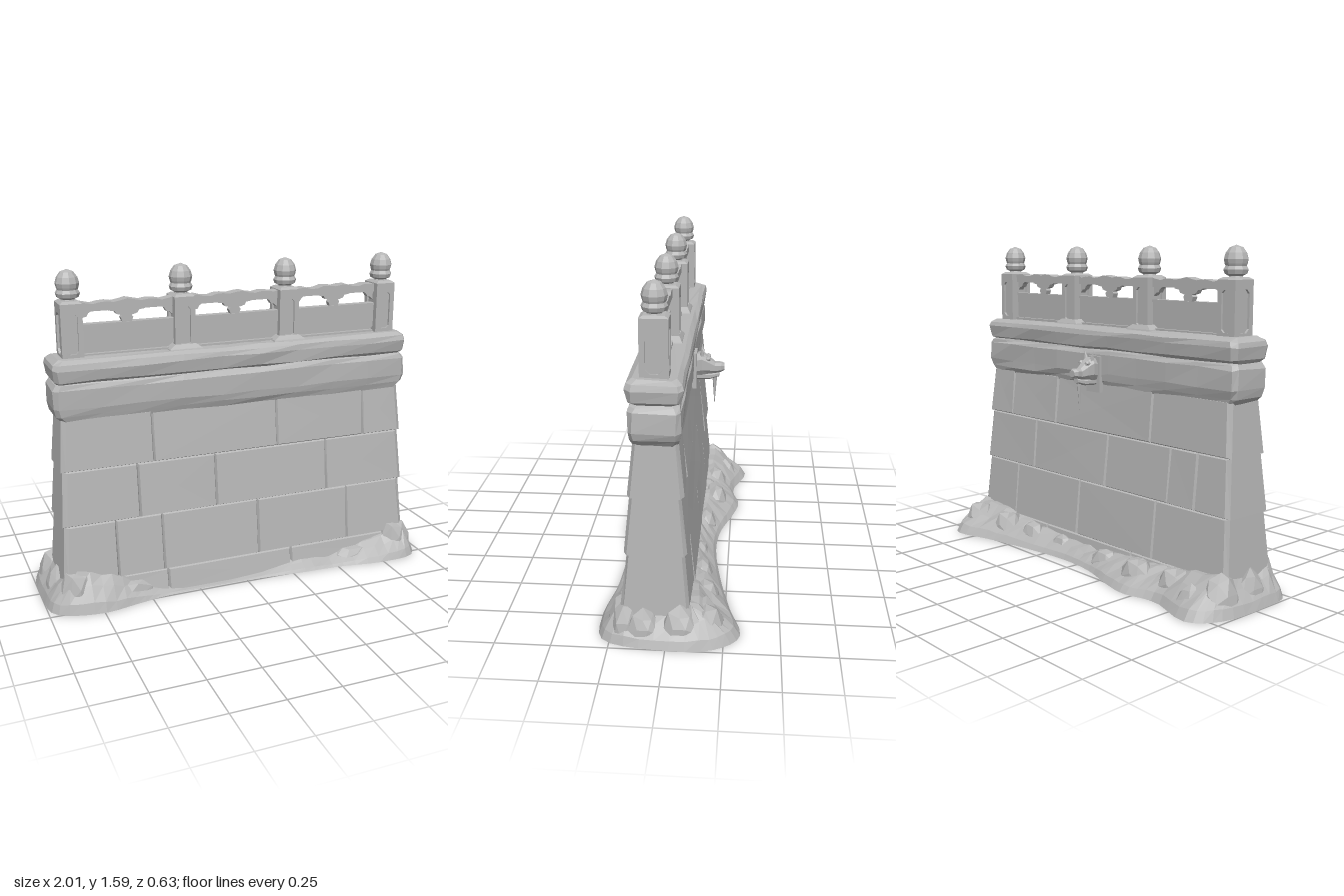
import * as THREE from 'three';

const stone = new THREE.MeshStandardMaterial({ color: 0xb6b6b6 });
stone.name = 'grey stone';

const V = (x, y, z) => new THREE.Vector3(x, y, z);
let seed = 7;
const rnd = () => (seed = (seed * 16807) % 2147483647) / 2147483647;
const jit = (a) => (rnd() - 0.5) * 2 * a;

// Faceted mesh from any geometry
function add(group, name, geo, x = 0, y = 0, z = 0) {
  const flat = geo.index ? geo.toNonIndexed() : geo;
  flat.computeVertexNormals();
  const mesh = new THREE.Mesh(flat, stone);
  mesh.name = name;
  mesh.position.set(x, y, z);
  group.add(mesh);
  return mesh;
}

// Closed skin through rings of equal length, capped at both ends
function loft(rings) {
  const pos = [];
  const tri = (...p) => p.forEach((v) => pos.push(v.x, v.y, v.z));
  const n = rings[0].length;
  const mid = (r) => r.reduce((s, p) => s.add(p), V(0, 0, 0)).divideScalar(n);
  const first = rings[0], last = rings[rings.length - 1];
  const cA = mid(first), cB = mid(last);
  for (let j = 0; j < n; j++) {
    const k = (j + 1) % n;
    for (let i = 0; i < rings.length - 1; i++) {
      const a = rings[i][j], b = rings[i][k], c = rings[i + 1][k], d = rings[i + 1][j];
      tri(a, b, c); tri(a, c, d);
    }
    tri(cA, first[k], first[j]);
    tri(cB, last[j], last[k]);
  }
  const g = new THREE.BufferGeometry();
  g.setAttribute('position', new THREE.Float32BufferAttribute(pos, 3));
  return g;
}

// Worn rectangle with cut corners at height y
function slabRing(y, hx, z0, z1, wear = 0.004, c = 0.022, n = 9) {
  const r = [V(hx, y, z1 - c), V(hx, y, z0 + c)];
  for (let i = 0; i <= n; i++) r.push(V((hx - c) * (1 - 2 * i / n), y, z0));
  r.push(V(-hx, y, z0 + c), V(-hx, y, z1 - c));
  for (let i = 0; i <= n; i++) r.push(V((hx - c) * (-1 + 2 * i / n), y, z1));
  return r.map((p) => p.add(V(jit(wear), jit(wear), jit(wear))));
}

// Chamfered masonry block on the front (side 1) or back (side -1)
const halfX = (y) => 0.916 - 0.04 * y;
const face = (y, side) => (side > 0 ? 0.207 - 0.068 * y : -0.105 + 0.055 * y);
function block(u0, u1, y0, y1, side) {
  const b = 0.007;
  const ring = (inset, depth) => {
    const cs = [[u0, y0], [u1, y0], [u1, y1], [u0, y1]].map(([u, y], i) => {
      const edge = Math.abs(u) === 1;
      const lower = i < 2 ? 0.006 : -0.003;
      const cut = edge ? inset * 3 : inset;
      const x = (edge ? u * (halfX(y) + lower) : u) + (i === 0 || i === 3 ? cut : -cut);
      const yy = y + (i < 2 ? inset : -inset);
      const z = depth === null ? 0.05 : face(y, side) + side * (lower - depth + (inset ? jit(0.003) : 0));
      return V(x, yy, z);
    });
    return side > 0 ? cs : [cs[1], cs[0], cs[3], cs[2]];
  };
  return loft([ring(0, null), ring(0, 0.014), ring(b, 0)]);
}

// Thin plate with a long eight-sided opening
function framePlate(w, h, hw, hh) {
  const s = new THREE.Shape([[-w, -h], [w, -h], [w, h], [-w, h]].map((p) => new THREE.Vector2(...p)));
  const c = hw * 0.5;
  s.holes.push(new THREE.Path([[-hw, -hh + c], [-hw, hh - c], [-hw + c, hh], [hw - c, hh], [hw, hh - c],
    [hw, -hh + c], [hw - c, -hh], [-hw + c, -hh]].map((p) => new THREE.Vector2(...p))));
  return new THREE.ExtrudeGeometry(s, { depth: 0.012, bevelEnabled: false });
}

function boulder(sx, sy, sz) {
  const g = new THREE.IcosahedronGeometry(1, 1);
  const p = g.attributes.position;
  for (let i = 0; i < p.count; i++) {
    const x = p.getX(i), y = p.getY(i), z = p.getZ(i);
    const k = 1 + 0.12 * Math.sin(5 * x + 9 * z + 40 * sx) * Math.cos(4 * y + 30 * sz);
    p.setXYZ(i, x * sx * k, Math.max(0, y * sy * k), z * sz * k);
  }
  return g;
}

function buildWall(root) {
  const wall = new THREE.Group();
  wall.name = 'masonryWall';
  const rows = [
    [0, 0.12, [-0.4, 0.26], [-0.3, 0.35]],
    [0.12, 0.405, [-0.65, -0.42, 0.08, 0.58], [-0.45, 0.1, 0.62]],
    [0.405, 0.67, [-0.53, -0.14, 0.46], [-0.7, -0.53, -0.1, 0.47]],
    [0.67, 0.92, [-0.45, 0.19, 0.67], [-0.4, 0.3, 0.68]],
  ];
  for (const [y0, y1, front, back] of rows) {
    [[front, 1], [back, -1]].forEach(([seams, side]) => {
      const xs = [-1, ...seams, 1];
      for (let i = 0; i < xs.length - 1; i++) add(wall, 'stoneBlock', block(xs[i], xs[i + 1], y0, y1, side));
    });
  }
  // Projecting band and coping
  add(wall, 'upperBand', loft([
    slabRing(0.9, 0.872, -0.05, 0.14), slabRing(0.93, 0.898, -0.058, 0.152), slabRing(0.965, 0.908, -0.064, 0.16),
    slabRing(1.055, 0.908, -0.064, 0.16), slabRing(1.076, 0.895, -0.055, 0.15), slabRing(1.084, 0.88, -0.045, 0.14)]));
  add(wall, 'coping', loft([
    slabRing(1.08, 0.885, -0.045, 0.14), slabRing(1.094, 0.9, -0.066, 0.16), slabRing(1.15, 0.908, -0.073, 0.168),
    slabRing(1.175, 0.9, -0.066, 0.16), slabRing(1.19, 0.875, -0.045, 0.14)]));
  root.add(wall);
}

function buildBalustrade(root) {
  const rail = new THREE.Group();
  rail.name = 'balustrade';
  rail.position.z = 0.05;
  const posts = [-0.8, -0.267, 0.267, 0.8];
  const finial = [[0, 0], [0.034, 0], [0.03, 0.012], [0.05, 0.022], [0.056, 0.04], [0.047, 0.056], [0.051, 0.066],
    [0.055, 0.085], [0.047, 0.112], [0.03, 0.135], [0, 0.146]].map((p) => new THREE.Vector2(...p));
  const square = (y, hx, hz) => [V(hx, y, hz), V(hx, y, -hz), V(-hx, y, -hz), V(-hx, y, hz)];
  posts.forEach((x, i) => {
    const post = new THREE.Group();
    post.name = 'post';
    post.position.x = x;
    add(post, 'postCore', new THREE.BoxGeometry(0.078, 0.26, 0.1), 0, 1.3, 0);
    for (const s of [1, -1]) {
      const f = add(post, 'postFrame', framePlate(0.05, 0.13, 0.027, 0.092), 0, 1.3, s * 0.049);
      const e = add(post, 'postFrame', framePlate(0.061, 0.13, 0.036, 0.095), s * 0.038, 1.3, 0);
      f.rotation.y = s > 0 ? 0 : Math.PI;
      e.rotation.y = s * Math.PI / 2;
    }
    add(post, 'postCap', loft([square(1.43, 0.05, 0.061), square(1.437, 0.05, 0.061), square(1.447, 0.037, 0.045)]));
    add(post, 'finial', new THREE.LatheGeometry(finial, 10), 0, 1.44, 0);
    if (i === 1 || i === 2) add(post, 'postPlinth', loft([square(1.17, 0.09, 0.085), square(1.195, 0.08, 0.075), square(1.215, 0.051, 0.062)]));
    rail.add(post);
  });
  for (const x of [-0.533, 0, 0.533]) {
    const bay = new THREE.Group();
    bay.name = 'railBay';
    bay.position.x = x;
    // Worn handrail
    const top = new THREE.BoxGeometry(0.46, 0.04, 0.06, 14, 1, 1);
    const p = top.attributes.position;
    for (let i = 0; i < p.count; i++) {
      const w = 0.005 * Math.sin(p.getX(i) * 55 + x * 9) + 0.004 * Math.cos(p.getX(i) * 23);
      if (p.getY(i) > 0) p.setY(i, p.getY(i) + w);
    }
    add(bay, 'handrail', top, 0, 1.414, 0);
    add(bay, 'panel', new THREE.BoxGeometry(0.46, 0.16, 0.028), 0, 1.252, 0);
    add(bay, 'panelTopEdge', new THREE.BoxGeometry(0.46, 0.012, 0.04), 0, 1.328, 0);
    add(bay, 'bottomRail', new THREE.BoxGeometry(0.46, 0.03, 0.07), 0, 1.185, 0);
    // Carved supports in the opening
    const half = [[0, 0], [0.022, 0], [0.03, 0.02], [0.022, 0.03], [0.05, 0.038], [0.058, 0.052], [0.085, 0.056], [0.09, 0.064], [0, 0.064]];
    const pts = [...half, ...half.slice(1, -1).reverse().map(([a, b]) => [-a, b])];
    const shape = new THREE.Shape(pts.map((q) => new THREE.Vector2(...q)));
    add(bay, 'centreSupport', new THREE.ExtrudeGeometry(shape, { depth: 0.03, bevelEnabled: false }), 0, 1.333, -0.015);
    for (const s of [1, -1]) {
      const c = new THREE.Shape([[0, 0], [0, -0.045], [0.015, -0.03], [0.03, -0.028], [0.04, -0.012], [0.06, 0]].map(([a, b]) => new THREE.Vector2(-s * a, b)));
      add(bay, 'cornerBracket', new THREE.ExtrudeGeometry(c, { depth: 0.03, bevelEnabled: false }), s * 0.22, 1.396, -0.015);
    }
    rail.add(bay);
  }
  root.add(rail);
}

// Carved beast head waterspout on the back
function buildSpout(root) {
  const spout = new THREE.Group();
  spout.name = 'waterspout';
  add(spout, 'backPlate', new THREE.BoxGeometry(0.1, 0.18, 0.03), 0, 0.96, -0.06);
  const ring = (z, y, w, h) => [[1, -0.5], [0.6, -1], [-0.6, -1], [-1, -0.5], [-1, 0.5], [-0.5, 1], [0.5, 1], [1, 0.5]]
    .map(([a, b]) => V(w * a, y + h * b, z));
  add(spout, 'head', loft([ring(-0.06, 0.98, 0.036, 0.055), ring(-0.1, 0.99, 0.042, 0.056), ring(-0.135, 0.98, 0.036, 0.04),
    ring(-0.165, 0.968, 0.026, 0.026), ring(-0.195, 0.972, 0.03, 0.022), ring(-0.21, 0.972, 0.018, 0.016)]));
  add(spout, 'lowerJaw', loft([ring(-0.07, 0.925, 0.026, 0.018), ring(-0.14, 0.925, 0.024, 0.015), ring(-0.185, 0.935, 0.016, 0.011)]));
  for (const s of [1, -1]) {
    const ear = add(spout, 'ear', new THREE.ConeGeometry(0.016, 0.055, 5), s * 0.025, 1.05, -0.1);
    ear.rotation.z = -s * 0.25;
    add(spout, 'brow', new THREE.IcosahedronGeometry(0.015, 0), s * 0.023, 1.018, -0.13);
  }
  const drip = add(spout, 'drip', new THREE.ConeGeometry(0.014, 0.18, 6), 0, 0.86, -0.163);
  drip.rotation.x = Math.PI;
  root.add(spout);
}

// Rubble mound: outline as x, crest height, z
function buildMound(root) {
  const mound = new THREE.Group();
  mound.name = 'rubbleMound';
  const outline = [[1, 0.13, 0.05], [0.985, 0.15, -0.2], [0.88, 0.15, -0.32], [0.65, 0.13, -0.27], [0.4, 0.1, -0.22],
    [0.1, 0.08, -0.185], [-0.1, 0.08, -0.2], [-0.3, 0.1, -0.26], [-0.45, 0.1, -0.29], [-0.62, 0.12, -0.255], [-0.88, 0.15, -0.32],
    [-0.98, 0.15, -0.2], [-1, 0.14, 0.05], [-0.97, 0.16, 0.23], [-0.77, 0.17, 0.3], [-0.57, 0.09, 0.27], [-0.4, 0.025, 0.243],
    [0, 0.015, 0.24], [0.3, 0.05, 0.265], [0.5, 0.045, 0.275], [0.75, 0.1, 0.31], [0.94, 0.15, 0.28]];
  const curve = new THREE.CatmullRomCurve3(outline.map((p) => V(...p)), true);
  const base = curve.getPoints(84).slice(0, -1);
  const clamp = THREE.MathUtils.clamp;
  const ring = (t, k, wear) => base.map((p) => {
    const bump = 1 + jit(wear);
    return V(THREE.MathUtils.lerp(p.x, clamp(p.x, -0.87, 0.87), t), p.y * k * bump,
      THREE.MathUtils.lerp(p.z, clamp(p.z, -0.07, 0.17), t));
  });
  add(mound, 'rubble', loft([ring(0, 0, 0), ring(0.12, 0.3, 0.1), ring(0.45, 0.7, 0.15), ring(0.72, 1, 0.12), ring(1, 1.05, 0.05)]));
  // Loose boulders: x, z, then radii
  [[-0.85, 0.19, 0.1, 0.2, 0.07], [0.87, 0.19, 0.1, 0.18, 0.08], [0.92, -0.06, 0.06, 0.17, 0.09], [0.93, 0.1, 0.05, 0.15, 0.08],
    [-0.92, 0.05, 0.06, 0.16, 0.1], [-0.9, -0.12, 0.08, 0.18, 0.1], [0.85, -0.17, 0.1, 0.16, 0.09], [0.62, -0.15, 0.1, 0.15, 0.08],
    [0.42, -0.13, 0.09, 0.13, 0.06], [0.2, -0.11, 0.08, 0.1, 0.05], [-0.15, -0.12, 0.09, 0.11, 0.06], [-0.42, -0.16, 0.1, 0.14, 0.07],
    [-0.65, -0.14, 0.1, 0.15, 0.08], [-0.8, -0.2, 0.07, 0.12, 0.07], [-0.6, 0.2, 0.12, 0.1, 0.05], [0.62, 0.21, 0.12, 0.08, 0.05],
  ].forEach(([x, z, a, b, c]) => add(mound, 'boulder', boulder(a, b, c), x, 0, z));
  root.add(mound);
}

export function createModel() {
  seed = 7;
  const root = new THREE.Group();
  root.name = 'stoneWall';
  buildWall(root);
  buildBalustrade(root);
  buildSpout(root);
  buildMound(root);
  return root;
}
